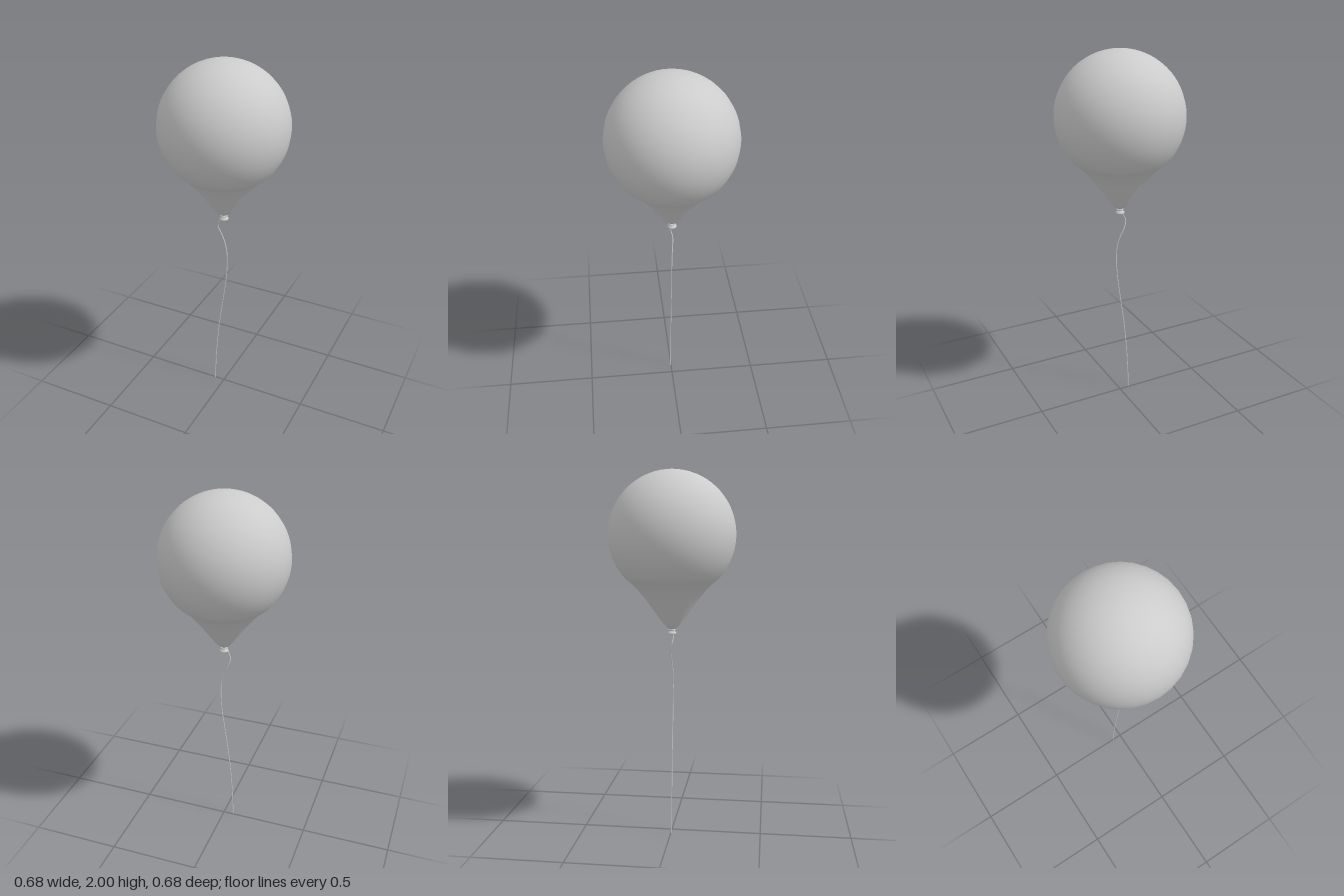
import * as THREE from 'three';

const material = new THREE.MeshStandardMaterial({ color: 0xcccccc, side: THREE.DoubleSide });
const SIDES = 32;

function part(name, geometry) {
  const mesh = new THREE.Mesh(geometry, material);
  mesh.name = name;
  return mesh;
}

// Round dome running smoothly into a tapered neck
function balloonProfile() {
  const radius = 0.342, centerY = 1.658;
  const neck = new THREE.SplineCurve([
    [0.012, 1.153], [0.034, 1.168], [0.062, 1.203], [0.105, 1.262],
    [0.153, 1.327], [0.205, 1.387], [0.252, 1.427],
  ].map(([x, y]) => new THREE.Vector2(x, y)));
  const points = neck.getPoints(18);
  const start = -0.7;
  for (let i = 0; i <= 24; i++) {
    const a = THREE.MathUtils.lerp(start, Math.PI / 2, i / 24);
    points.push(new THREE.Vector2(Math.max(0, radius * Math.cos(a)), centerY + radius * Math.sin(a)));
  }
  return points;
}

export function createModel() {
  const model = new THREE.Group();
  model.name = 'balloon';

  model.add(part('balloonBody', new THREE.LatheGeometry(balloonProfile(), SIDES)));

  // Pinched neck flaring into a rolled lip
  const lip = [
    [0, 1.134], [0.012, 1.13], [0.02, 1.125], [0.025, 1.127], [0.025, 1.132],
    [0.019, 1.138], [0.014, 1.145], [0.013, 1.152], [0.015, 1.16],
  ].map(([x, y]) => new THREE.Vector2(x, y));
  model.add(part('lip', new THREE.LatheGeometry(lip, 24)));

  // String wound around the neck
  const knot = new THREE.TorusGeometry(0.0155, 0.004, 8, 24);
  knot.rotateX(Math.PI / 2);
  knot.translate(0, 1.148, 0);
  model.add(part('stringKnot', knot));

  // Hanging string
  const path = new THREE.CatmullRomCurve3([
    [-0.012, 1.148, 0.01], [-0.022, 1.115, 0.011], [-0.036, 1.078, 0.004],
    [-0.022, 1.035, -0.006], [0, 0.99, -0.003], [0.017, 0.93, 0.002],
    [0.021, 0.85, 0.004], [0.015, 0.75, 0.004], [0, 0.635, 0.004],
    [-0.03, 0.415, 0.004], [-0.05, 0.18, 0.004], [-0.057, 0, 0.004],
  ].map((p) => new THREE.Vector3(...p)));
  model.add(part('string', new THREE.TubeGeometry(path, 90, 0.003, 8)));

  return model;
}
